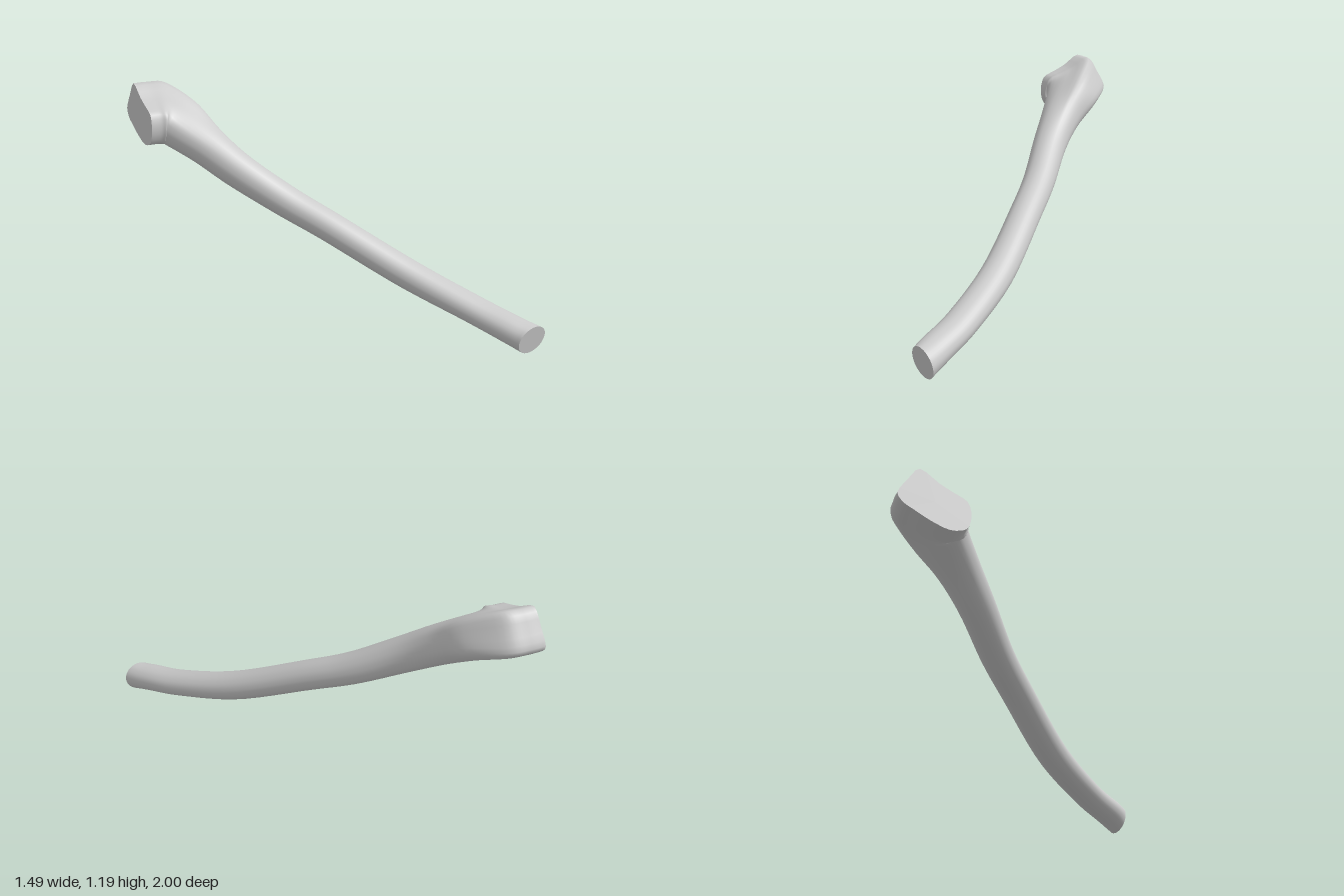
import * as THREE from 'three';

const COLUMNS = 36, STEPS = 60;

// Head cross-section: a rounded wedge with a ridge on top (u = outward/back, v = up)
const HEAD = [
  [0.19, 0], [0.14, 0.09], [0.08, 0.17], [-0.02, 0.115], [-0.09, 0.085], [-0.17, 0.05],
  [-0.19, -0.03], [-0.165, -0.11], [-0.08, -0.14], [0.02, -0.115], [0.11, -0.075], [0.16, -0.05],
];

// Stations from the foot to the head: x, y, z, yaw, pitch, radius u, radius v, blend to head shape
const STATIONS = [
  [0.655, 0.084, 0.985, 0.06, 0.17, 0.089, 0.082, 0],
  [0.605, 0.11, 0.89, 0.4, 0.27, 0.088, 0.075, 0],
  [0.5, 0.167, 0.68, 0.5, 0.33, 0.088, 0.072, 0],
  [0.295, 0.288, 0.35, 0.6, 0.41, 0.088, 0.08, 0],
  [0.025, 0.485, 0, 0.67, 0.49, 0.087, 0.083, 0],
  [-0.14, 0.6, -0.2, 0.71, 0.5, 0.09, 0.088, 0],
  [-0.325, 0.748, -0.4, 0.73, 0.53, 0.097, 0.099, 0],
  [-0.44, 0.865, -0.555, 0.68, 0.58, 0.107, 0.107, 0.1],
  [-0.53, 0.965, -0.7, 0.68, 0.45, 0.125, 0.115, 0.45],
  [-0.6, 1.012, -0.778, 1.25, 0.12, 0.15, 0.13, 0.95],
  [-0.67, 1.018, -0.802, 1.5, 0.05, 0.15, 0.13, 1],
  [-0.738, 1.018, -0.81, Math.PI / 2, 0.05, 0.15, 0.13, 1],
];

// One cross-section placed in space and resampled to an even loop
function section([x, y, z, yaw, pitch, ru, rv, blend]) {
  const U = new THREE.Vector3(Math.cos(yaw), 0, -Math.sin(yaw));
  const V = new THREE.Vector3(Math.sin(yaw) * Math.sin(pitch), Math.cos(pitch), Math.cos(yaw) * Math.sin(pitch));
  const pts = HEAD.map(([hu, hv], k) => {
    const a = (k / HEAD.length) * Math.PI * 2;
    const u = THREE.MathUtils.lerp(Math.cos(a) * ru, hu, blend);
    const v = THREE.MathUtils.lerp(Math.sin(a) * rv, hv, blend);
    return new THREE.Vector3(x, y, z).addScaledVector(U, u).addScaledVector(V, v);
  });
  const loop = new THREE.CatmullRomCurve3(pts, true, 'catmullrom', 0.45);
  return Array.from({ length: COLUMNS }, (_, k) => loop.getPoint(k / COLUMNS));
}

function geometryFrom(points, index) {
  const g = new THREE.BufferGeometry().setFromPoints(points);
  g.setIndex(index);
  g.computeVertexNormals();
  return g;
}

// Flat fan closing a loop
function capGeometry(loop, flip) {
  const centre = loop.reduce((s, p) => s.add(p), new THREE.Vector3()).divideScalar(loop.length);
  const index = [];
  for (let k = 0; k < COLUMNS; k++) {
    const n = (k + 1) % COLUMNS;
    index.push(COLUMNS, flip ? n : k, flip ? k : n);
  }
  return geometryFrom([...loop, centre], index);
}

export function createModel() {
  const group = new THREE.Group();
  group.name = 'limb';
  const material = new THREE.MeshStandardMaterial({ color: 0xcccccc });
  const add = (name, geometry) => {
    const mesh = new THREE.Mesh(geometry, material);
    mesh.name = name;
    group.add(mesh);
  };

  // Smooth lengthwise curves through matching points of every section
  const sections = STATIONS.map(section);
  const columns = Array.from({ length: COLUMNS }, (_, k) =>
    new THREE.CatmullRomCurve3(sections.map((s) => s[k]), false, 'catmullrom', 0.5));
  const rings = Array.from({ length: STEPS + 1 }, (_, i) => columns.map((c) => c.getPoint(i / STEPS)));

  // Curved shaft swelling into the head
  const index = [];
  for (let i = 0; i < STEPS; i++) {
    for (let k = 0; k < COLUMNS; k++) {
      const n = (k + 1) % COLUMNS;
      const a = i * COLUMNS + k, b = i * COLUMNS + n;
      index.push(a, a + COLUMNS, b, b, a + COLUMNS, b + COLUMNS);
    }
  }
  add('shaftAndHead', geometryFrom(rings.flat(), index));

  // Flat cut ends
  add('lowerEndFace', capGeometry(rings[0], false));
  add('headEndFace', capGeometry(rings[STEPS], true));
  return group;
}
